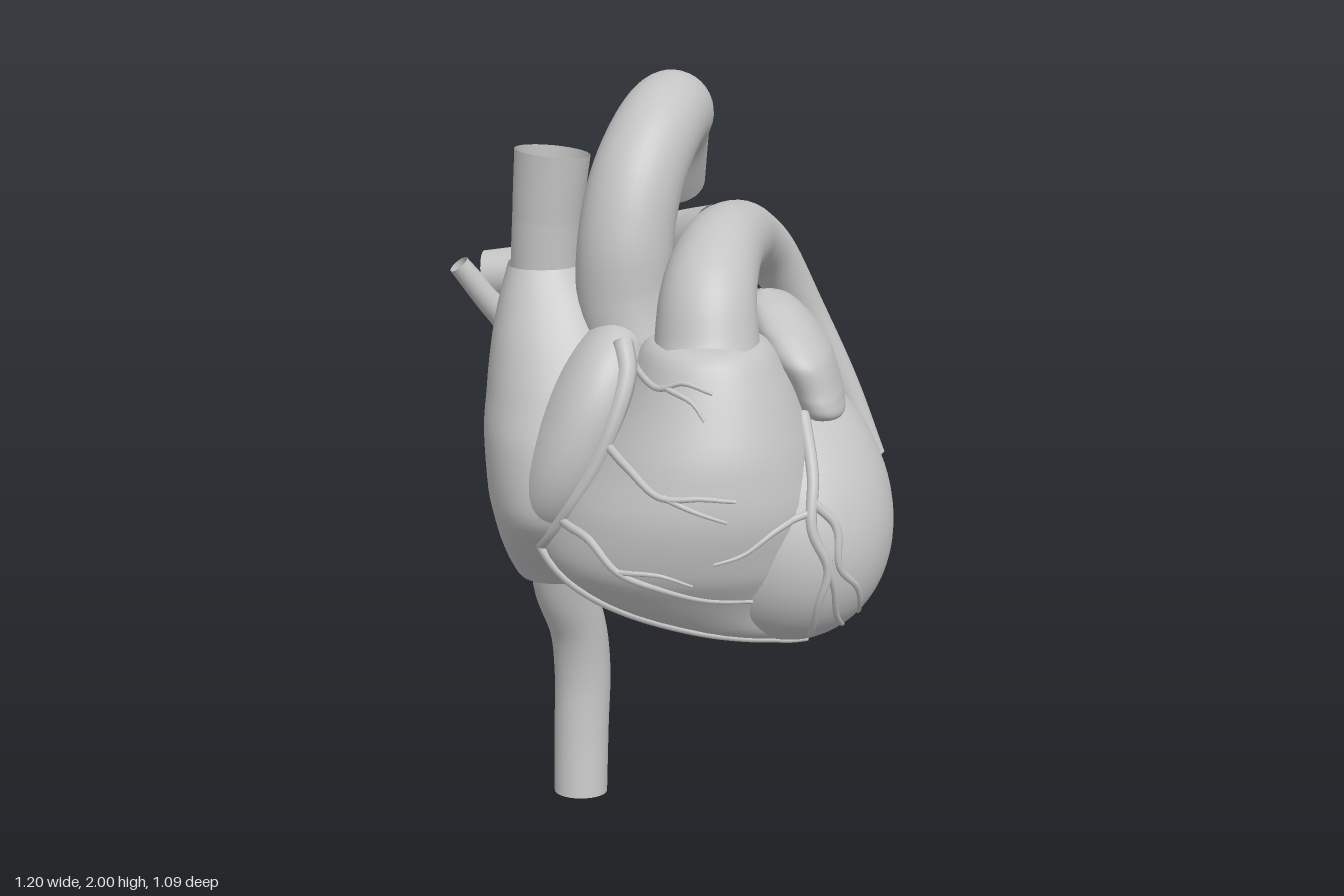
import * as THREE from 'three';
import { mergeVertices } from 'three/addons/utils/BufferGeometryUtils.js';

const V = (a) => new THREE.Vector3(a[0], a[1], a[2]);

export function createModel() {
  const group = new THREE.Group();
  const tissue = new THREE.MeshStandardMaterial({ color: 0xc4c4c4, side: THREE.DoubleSide });
  tissue.name = 'grey tissue';

  // Weld seams and smooth the normals
  function add(name, geometry) {
    geometry.deleteAttribute('uv');
    geometry.deleteAttribute('normal');
    const welded = mergeVertices(geometry, 1e-5);
    welded.computeVertexNormals();
    const mesh = new THREE.Mesh(welded, tissue);
    mesh.name = name;
    group.add(mesh);
    return mesh;
  }

  function moveVertices(geometry, rule) {
    const p = geometry.attributes.position, v = new THREE.Vector3();
    for (let i = 0; i < p.count; i++) {
      v.fromBufferAttribute(p, i);
      rule(v, i);
      p.setXYZ(i, v.x, v.y, v.z);
    }
    return geometry;
  }

  // A lower power gives boxier sections
  const soften = (s, power) => Math.sign(s) * Math.abs(s) ** power;

  // Horizontal rounded sections, bottom to top: [y, x, z, radiusX, radiusZ]
  function loft(name, power, rings) {
    const centres = new THREE.CatmullRomCurve3(rings.map((r) => V([r[1], r[0], r[2]])));
    const radii = new THREE.CatmullRomCurve3(rings.map((r) => V([r[3], r[4], 0])));
    const geometry = new THREE.CylinderGeometry(1, 1, 1, 56, 48, true);
    return add(name, moveVertices(geometry, (v) => {
      const t = THREE.MathUtils.clamp(v.y + 0.5, 0, 1);
      const c = centres.getPoint(t), r = radii.getPoint(t);
      v.set(c.x + soften(v.x, power) * Math.max(r.x, 0), c.y, c.z + soften(v.z, power) * Math.max(r.y, 0));
    }));
  }

  // Ellipsoid whose own y axis points along dir
  function blob(name, power, centre, radii, dir) {
    const geometry = moveVertices(new THREE.SphereGeometry(1, 56, 40), (v) =>
      v.set(soften(v.x, power) * radii[0], soften(v.y, power) * radii[1], soften(v.z, power) * radii[2]));
    const mesh = add(name, geometry);
    mesh.quaternion.setFromUnitVectors(V([0, 1, 0]), V(dir).normalize());
    mesh.position.copy(V(centre));
    return mesh;
  }

  // Open tapering tube through points [x, y, z, radius]
  function tube(name, points, segments = 48, sides = 28) {
    const curve = new THREE.CatmullRomCurve3(points.map(V));
    const geometry = new THREE.TubeGeometry(curve, segments, 1, sides, false);
    const last = points.length - 1;
    return add(name, moveVertices(geometry, (v, i) => {
      const u = Math.floor(i / (sides + 1)) / segments;
      const k = curve.getUtoTmapping(u) * last;
      const a = Math.min(Math.floor(k), last - 1);
      const r = THREE.MathUtils.lerp(points[a][3], points[a + 1][3], k - a);
      const c = curve.getPointAt(u);
      v.sub(c).multiplyScalar(r).add(c);
    }));
  }

  // Ventricles
  const rightVentricle = loft('rightVentricle', 0.92, [
    [0.605, 0.27, 0.23, 0.005, 0.005], [0.635, 0.2, 0.2, 0.15, 0.14],
    [0.68, 0.11, 0.16, 0.255, 0.24], [0.77, 0.01, 0.14, 0.335, 0.32],
    [0.87, -0.01, 0.15, 0.37, 0.37], [1.0, 0.01, 0.16, 0.35, 0.385],
    [1.15, 0.035, 0.16, 0.285, 0.365], [1.3, 0.05, 0.18, 0.21, 0.28],
    [1.4, 0.045, 0.24, 0.14, 0.15], [1.42, 0.045, 0.24, 0.005, 0.005],
  ]);
  const leftVentricle = blob('leftVentricle', 1, [0.175, 0.965, 0.09], [0.33, 0.44, 0.335], [0.43, -0.55, 0.72]);

  // Right atrium, open into the vein above, and its appendage
  const rightAtrium = loft('rightAtrium', 0.87, [
    [0.67, -0.325, -0.045, 0.005, 0.005], [0.68, -0.325, -0.045, 0.115, 0.105],
    [0.73, -0.33, -0.03, 0.135, 0.14], [0.83, -0.335, 0.01, 0.155, 0.215],
    [0.96, -0.335, 0.05, 0.175, 0.285], [1.12, -0.325, 0.05, 0.192, 0.275],
    [1.26, -0.315, 0.03, 0.19, 0.24], [1.37, -0.325, 0.02, 0.165, 0.19],
    [1.46, -0.34, 0.01, 0.13, 0.14], [1.54, -0.355, 0, 0.092, 0.095],
  ]);
  const rightAuricle = blob('rightAuricle', 0.92, [-0.265, 1.16, 0.18], [0.12, 0.29, 0.205], [0.4, 0.9, -0.08]);

  // Left atrium and its appendage
  blob('leftAtrium', 0.84, [0, 1.15, -0.195], [0.3, 0.275, 0.23], [0.1, 1, 0]);
  loft('leftAuricle', 0.92, [
    [1.19, 0.33, 0.12, 0.005, 0.005], [1.2, 0.33, 0.12, 0.07, 0.17],
    [1.25, 0.315, 0.06, 0.085, 0.25], [1.33, 0.28, 0.05, 0.095, 0.255],
    [1.4, 0.245, 0.05, 0.085, 0.19], [1.455, 0.215, 0.04, 0.055, 0.09],
    [1.475, 0.2, 0.04, 0.005, 0.005],
  ]);

  // Great vessels
  tube('aorta', [
    [-0.1, 1.25, 0.13, 0.115], [-0.15, 1.45, 0.09, 0.122], [-0.15, 1.6, 0.08, 0.12],
    [-0.12, 1.75, 0.03, 0.117], [-0.065, 1.86, -0.07, 0.112], [-0.025, 1.888, -0.19, 0.108],
    [-0.02, 1.82, -0.355, 0.1], [-0.022, 1.67, -0.465, 0.097],
  ], 64, 36);
  tube('pulmonaryTrunk', [
    [0.045, 1.36, 0.27, 0.132], [0.05, 1.49, 0.21, 0.12], [0.085, 1.565, 0.05, 0.108],
    [0.13, 1.57, -0.12, 0.1], [0.18, 1.54, -0.28, 0.09], [0.25, 1.47, -0.39, 0.077],
    [0.35, 1.3, -0.45, 0.062], [0.47, 1.08, -0.45, 0.046], [0.565, 0.87, -0.42, 0.032],
  ], 64, 36);
  tube('rightPulmonaryArtery', [
    [0.09, 1.58, -0.08, 0.088], [0.0, 1.54, -0.19, 0.09], [-0.18, 1.49, -0.19, 0.085],
    [-0.35, 1.47, -0.21, 0.075], [-0.52, 1.455, -0.235, 0.064],
  ]);
  tube('superiorVenaCava', [
    [-0.355, 1.48, 0, 0.088], [-0.345, 1.65, 0, 0.088], [-0.328, 1.82, 0, 0.095],
  ]);
  tube('inferiorVenaCava', [
    [-0.33, 0.74, -0.01, 0.085], [-0.325, 0.64, -0.03, 0.08], [-0.29, 0.5, -0.075, 0.078],
    [-0.28, 0.36, -0.09, 0.078], [-0.285, 0.2, -0.075, 0.076], [-0.29, 0.01, -0.042, 0.074],
  ]);

  // Pulmonary veins
  tube('rightUpperVein', [
    [-0.26, 1.2, -0.2, 0.07], [-0.4, 1.27, -0.23, 0.05], [-0.49, 1.37, -0.19, 0.036], [-0.585, 1.5, -0.16, 0.028],
  ]);
  tube('rightLowerVein', [
    [-0.05, 1.14, -0.21, 0.21], [-0.2, 1.14, -0.26, 0.175], [-0.31, 1.13, -0.315, 0.115], [-0.41, 1.14, -0.37, 0.068],
  ]);
  for (const [y, z, x] of [[1.31, -0.24, 0.29], [1.09, -0.36, 0.22]]) {
    tube('leftVein', [[x - 0.17, y, z + 0.06, 0.08], [x - 0.06, y, z + 0.02, 0.045], [x, y, z, 0.04]], 16, 16);
    for (const s of [-1, 1]) {
      tube('leftVeinBranch', [
        [x - 0.05, y + s * 0.015, z, 0.028], [x, y + s * 0.027, z - 0.005, 0.026], [x + 0.03, y + s * 0.03, z - 0.015, 0.024],
      ], 10, 12);
    }
  }

  // Coronary vessels laid on the surface: front paths are [x, y], side paths are [z, y]
  const surfaces = [rightVentricle, leftVentricle, rightAtrium, rightAuricle];
  group.updateMatrixWorld(true);
  const ray = new THREE.Raycaster();
  function vessel(name, side, r0, r1, path) {
    const flat = new THREE.CatmullRomCurve3(path.map((p) => V([p[0], p[1], 0])));
    const steps = path.length * 4;
    const points = [];
    for (const p of flat.getSpacedPoints(steps)) {
      const from = side ? V([3, p.y, p.x]) : V([p.x, p.y, 3]);
      ray.set(from, side ? V([-1, 0, 0]) : V([0, 0, -1]));
      const hit = ray.intersectObjects(side ? [leftVentricle] : surfaces, false)[0];
      if (hit) points.push([...hit.point.toArray(), THREE.MathUtils.lerp(r0, r1, points.length / steps)]);
    }
    if (points.length > 2) tube(name, points, steps * 2, 8);
  }
  const front = [
    ['rightCoronaryArtery', 0.026, 0.014, [[-0.16, 1.4], [-0.15, 1.34], [-0.22, 1.14], [-0.31, 0.98], [-0.37, 0.87]]],
    ['marginalArtery', 0.014, 0.007, [[-0.37, 0.87], [-0.28, 0.8], [-0.15, 0.735], [0, 0.69], [0.15, 0.655], [0.3, 0.635]]],
    ['conusBranch', 0.01, 0.005, [[-0.14, 1.35], [-0.08, 1.32], [-0.02, 1.34], [0.05, 1.32]]],
    ['conusBranch', 0.008, 0.004, [[-0.06, 1.325], [0, 1.3], [0.03, 1.26]]],
    ['ventricleBranch', 0.012, 0.005, [[-0.2, 1.17], [-0.15, 1.14], [-0.08, 1.09], [0.02, 1.09], [0.1, 1.08]]],
    ['ventricleBranch', 0.008, 0.004, [[-0.07, 1.09], [0, 1.06], [0.08, 1.03]]],
    ['ventricleBranch', 0.012, 0.005, [[-0.31, 0.97], [-0.25, 0.96], [-0.18, 0.89], [-0.08, 0.85], [0.03, 0.81], [0.15, 0.79]]],
    ['ventricleBranch', 0.008, 0.004, [[-0.18, 0.89], [-0.08, 0.89], [0, 0.86]]],
    ['descendingArtery', 0.018, 0.008, [[0.28, 1.22], [0.295, 1.1], [0.29, 0.98], [0.33, 0.88], [0.31, 0.78], [0.3, 0.67]]],
    ['descendingBranch', 0.013, 0.006, [[0.295, 1.04], [0.35, 0.98], [0.36, 0.88], [0.41, 0.81], [0.43, 0.7]]],
    ['descendingBranch', 0.012, 0.006, [[0.33, 0.9], [0.35, 0.82], [0.36, 0.74], [0.39, 0.67]]],
    ['descendingBranch', 0.01, 0.004, [[0.29, 1.02], [0.2, 0.99], [0.12, 0.94], [0.05, 0.92]]],
  ];
  for (const [name, r0, r1, path] of front) vessel(name, false, r0, r1, path);
  const side = [
    ['circumflexArtery', 0.014, 0.008, [[-0.12, 1.26], [-0.22, 1.18], [-0.26, 1.08], [-0.24, 1], [-0.13, 0.93]]],
    ['circumflexBranch', 0.01, 0.004, [[-0.24, 1], [-0.13, 0.93], [-0.02, 0.85], [0.1, 0.77], [0.22, 0.72]]],
    ['circumflexBranch', 0.008, 0.004, [[-0.05, 0.87], [0.05, 0.85], [0.14, 0.81]]],
    ['circumflexBranch', 0.008, 0.004, [[-0.1, 0.91], [-0.07, 0.83], [0, 0.76]]],
  ];
  for (const [name, r0, r1, path] of side) vessel(name, true, r0, r1, path);

  return group;
}
